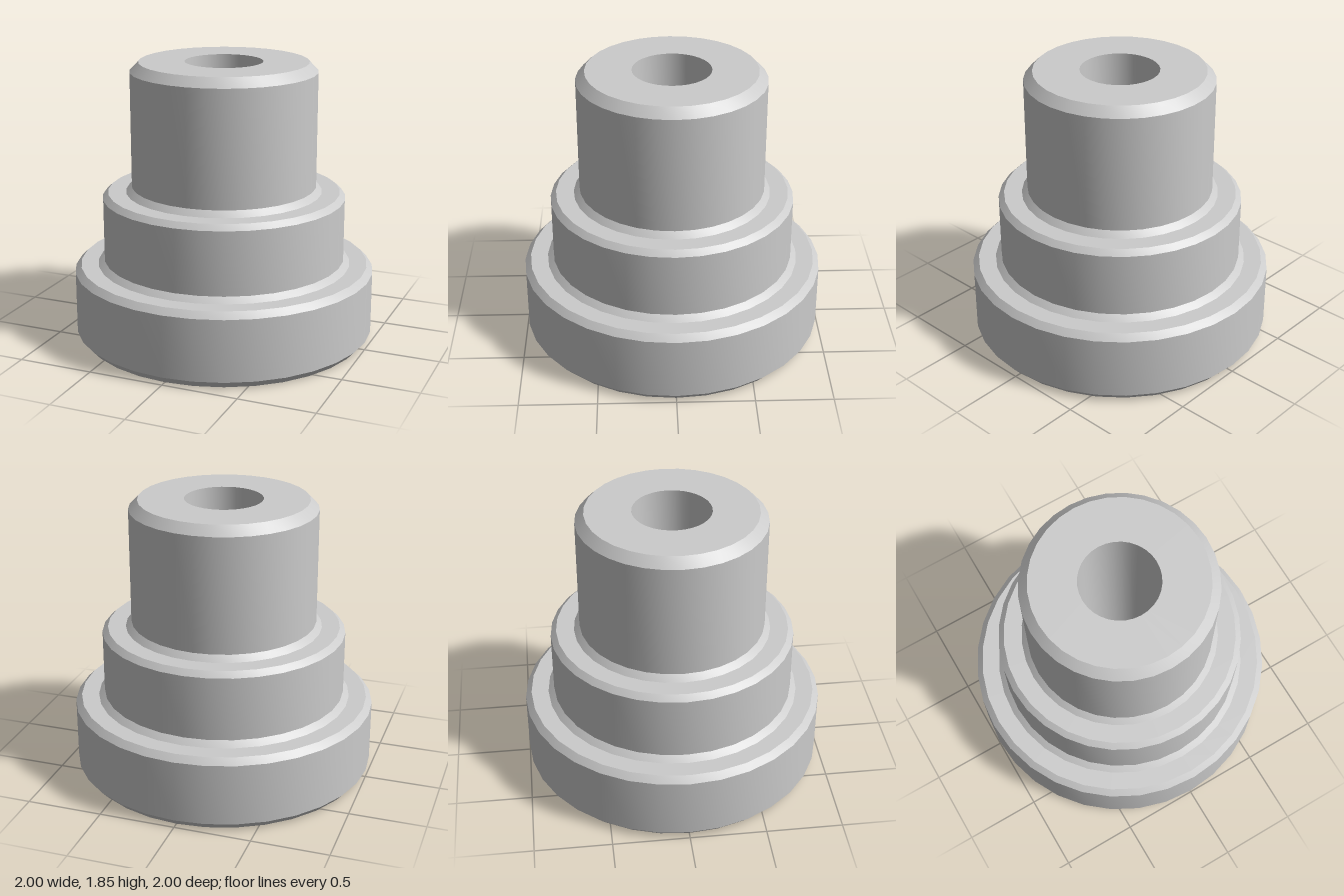
import * as THREE from 'three';
import { toCreasedNormals } from 'three/addons/utils/BufferGeometryUtils.js';

const SIDES = 32;
const material = new THREE.MeshStandardMaterial({ color: 0xcccccc });

// Turned surface from [radius, height] pairs, smooth around, sharp along the profile
function turned(name, profile) {
  const points = profile.map(([r, y]) => new THREE.Vector2(r, y));
  const geometry = toCreasedNormals(new THREE.LatheGeometry(points, SIDES), Math.PI / 6);
  const mesh = new THREE.Mesh(geometry, material);
  mesh.name = name;
  return mesh;
}

export function createModel() {
  const group = new THREE.Group();
  group.name = 'steppedBushing';

  // Wide base with chamfered rims and an angled fillet up to the collar
  group.add(turned('baseFlange', [
    [0.39, 0], [0.955, 0], [1, 0.05], [1, 0.46], [0.96, 0.5], [0.845, 0.5], [0.805, 0.535],
  ]));

  // Middle step
  group.add(turned('middleCollar', [
    [0.805, 0.535], [0.805, 0.955], [0.768, 0.99], [0.65, 0.99], [0.612, 1.028],
  ]));

  // Tall neck with chamfered top
  group.add(turned('neck', [
    [0.612, 1.028], [0.612, 1.79], [0.554, 1.85], [0.255, 1.85],
  ]));

  // Through hole, widening to a counterbore underneath
  group.add(turned('bore', [
    [0.255, 1.85], [0.255, 0.18], [0.39, 0.18], [0.39, 0],
  ]));

  return group;
}
